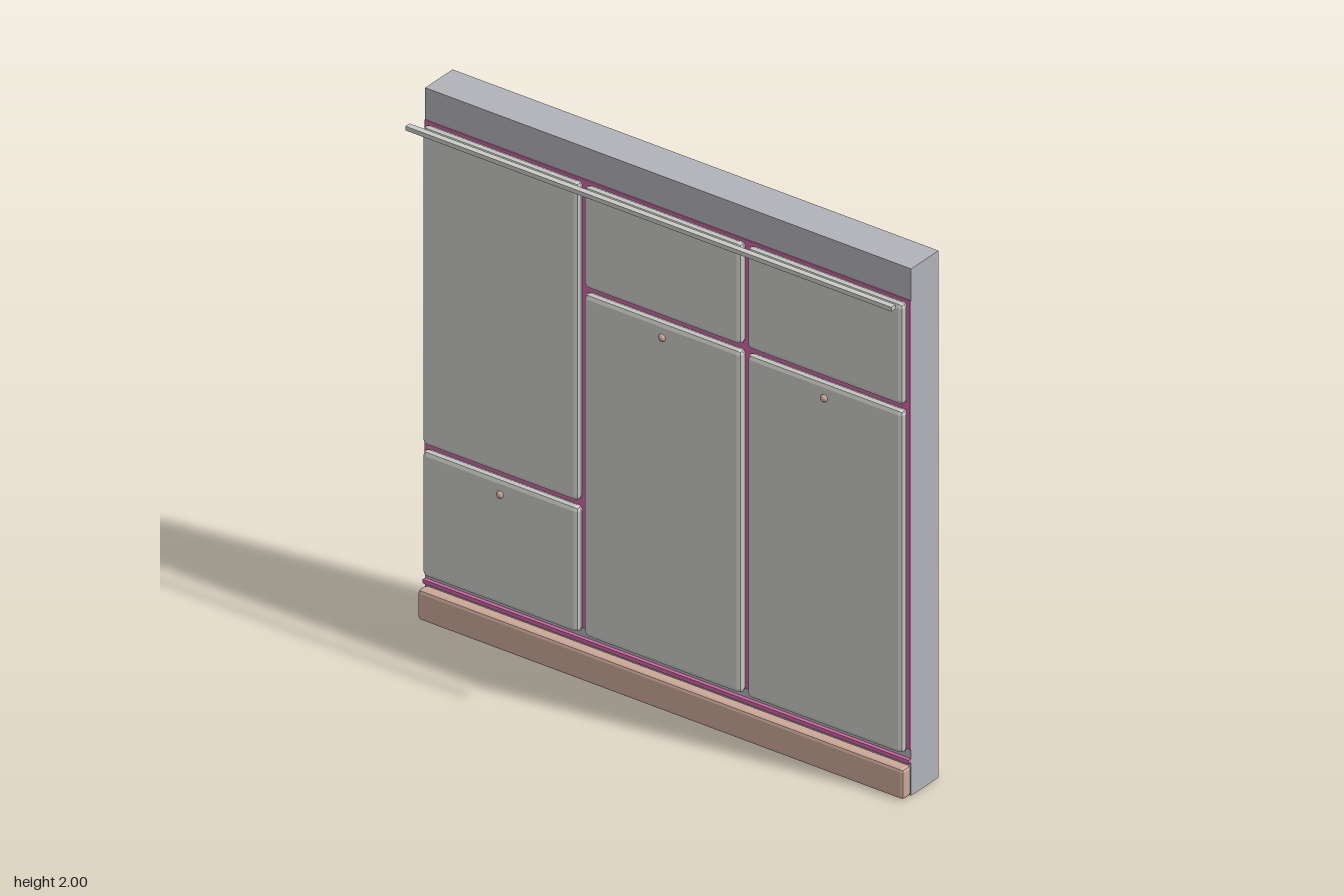
import * as THREE from 'three';
import { RoundedBoxGeometry } from 'three/addons/geometries/RoundedBoxGeometry.js';

const paint = (name, color) => {
  const m = new THREE.MeshStandardMaterial({ color });
  m.name = name;
  return m;
};

export function createModel() {
  const wallGrey = paint('wallGrey', 0xb1b1b9);
  const panelGrey = paint('panelGrey', 0xc9c9c6);
  const pink = paint('pink', 0xcc66a2);
  const clay = paint('clay', 0xcba899);
  const model = new THREE.Group();
  model.name = 'panelledWall';

  const add = (name, geometry, material, x, y, z) => {
    const mesh = new THREE.Mesh(geometry, material);
    mesh.name = name;
    mesh.position.set(x, y, z);
    model.add(mesh);
  };
  // Box given by its limits; a bevel cuts its edges with flat chamfers
  const block = (name, material, [x0, x1], [y0, y1], [z0, z1], bevel = 0) => {
    const size = [x1 - x0, y1 - y0, z1 - z0];
    const geometry = bevel
      ? new RoundedBoxGeometry(...size, 1, bevel)
      : new THREE.BoxGeometry(...size);
    if (bevel) geometry.computeVertexNormals();
    add(name, geometry, material, (x0 + x1) / 2, (y0 + y1) / 2, (z0 + z1) / 2);
  };

  block('wall', wallGrey, [-1, 1], [0, 2], [-0.13, 0.021]);
  block('backing', pink, [-1, 1], [0.175, 1.88], [0.015, 0.026]);
  block('lowerStrip', pink, [-1, 1], [0.125, 0.14], [0.02, 0.035]);
  block('baseboard', clay, [-1, 1], [0, 0.115], [0.018, 0.065], 0.012);
  block('pictureRail', panelGrey, [-1, 1], [1.888, 1.904], [0.107, 0.13]);

  // Chamfered panels in three columns
  const columns = [[-0.99, -0.346], [-0.325, 0.325], [0.346, 0.99]];
  const panels = [
    [0, 0.164, 0.643], [0, 0.664, 1.873],
    [1, 0.164, 1.467], [1, 1.488, 1.873],
    [2, 0.164, 1.467], [2, 1.488, 1.873],
  ];
  for (const [column, bottom, top] of panels)
    block('panel', panelGrey, columns[column], [bottom, top], [0.019, 0.055], 0.0178);

  // Round knobs set into the panels
  for (const [x, y] of [[-0.667, 0.585], [0, 1.41], [0.667, 1.41]])
    add('knob', new THREE.SphereGeometry(0.015, 20, 14), clay, x, y, 0.05);

  return model;
}
